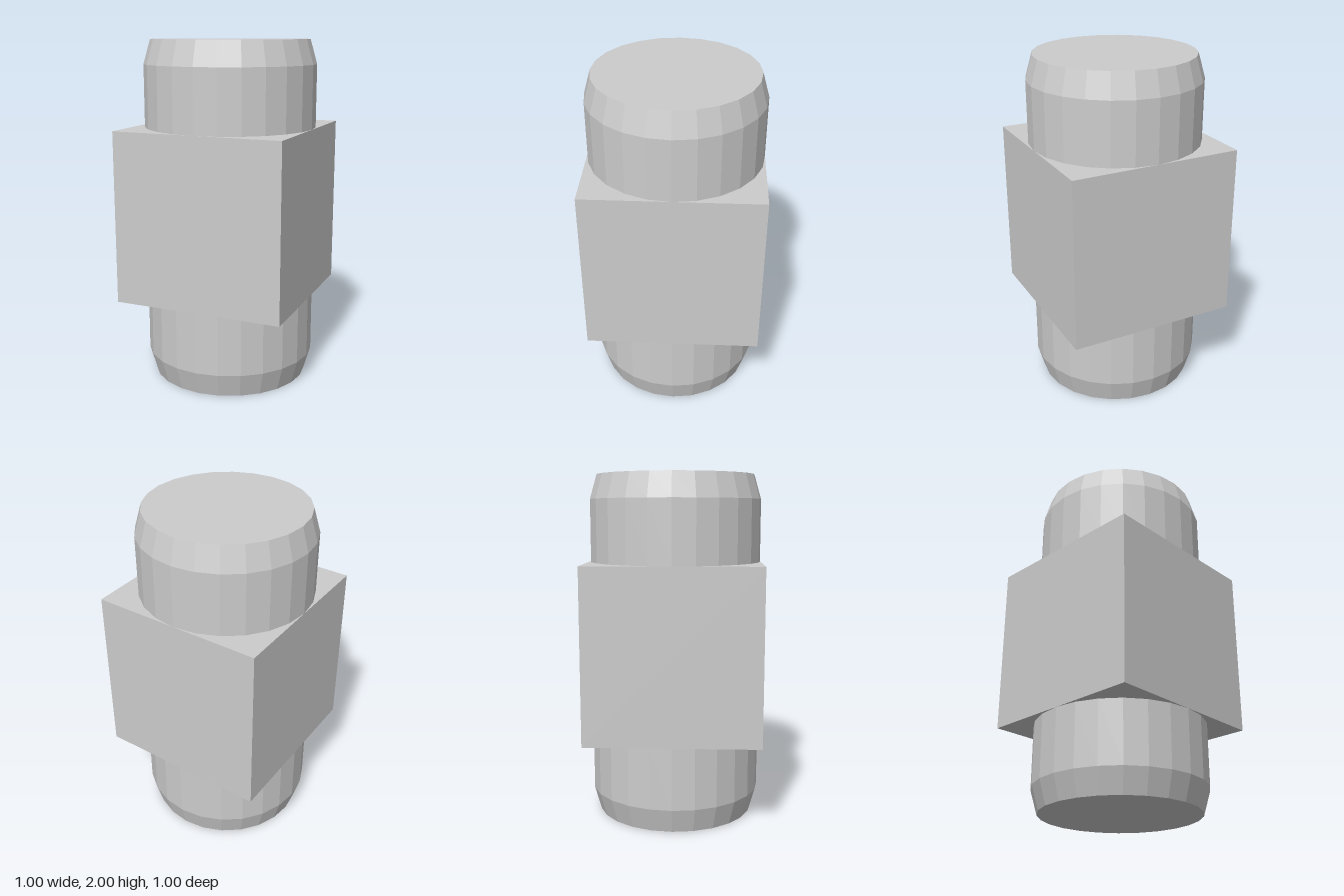
import * as THREE from 'three';

export function createModel() {
  const model = new THREE.Group();
  const grey = new THREE.MeshStandardMaterial({ color: 0xcccccc, flatShading: true });
  grey.name = 'plain grey';

  const add = (name, geometry, y) => {
    const mesh = new THREE.Mesh(geometry, grey);
    mesh.name = name;
    mesh.position.y = y;
    model.add(mesh);
    return mesh;
  };

  // Central cube
  add('centralBlock', new THREE.BoxGeometry(1, 1, 1), 1);

  // Round stubs with tapered, capped ends above and below the cube
  const profile = [[0.5, 0], [0.5, 0.36], [0.46, 0.5], [0, 0.5]].map(([r, y]) => new THREE.Vector2(r, y));
  const stub = new THREE.LatheGeometry(profile, 24);
  add('upperStub', stub, 1.5);
  add('lowerStub', stub, 0.5).rotation.x = Math.PI;

  return model;
}
